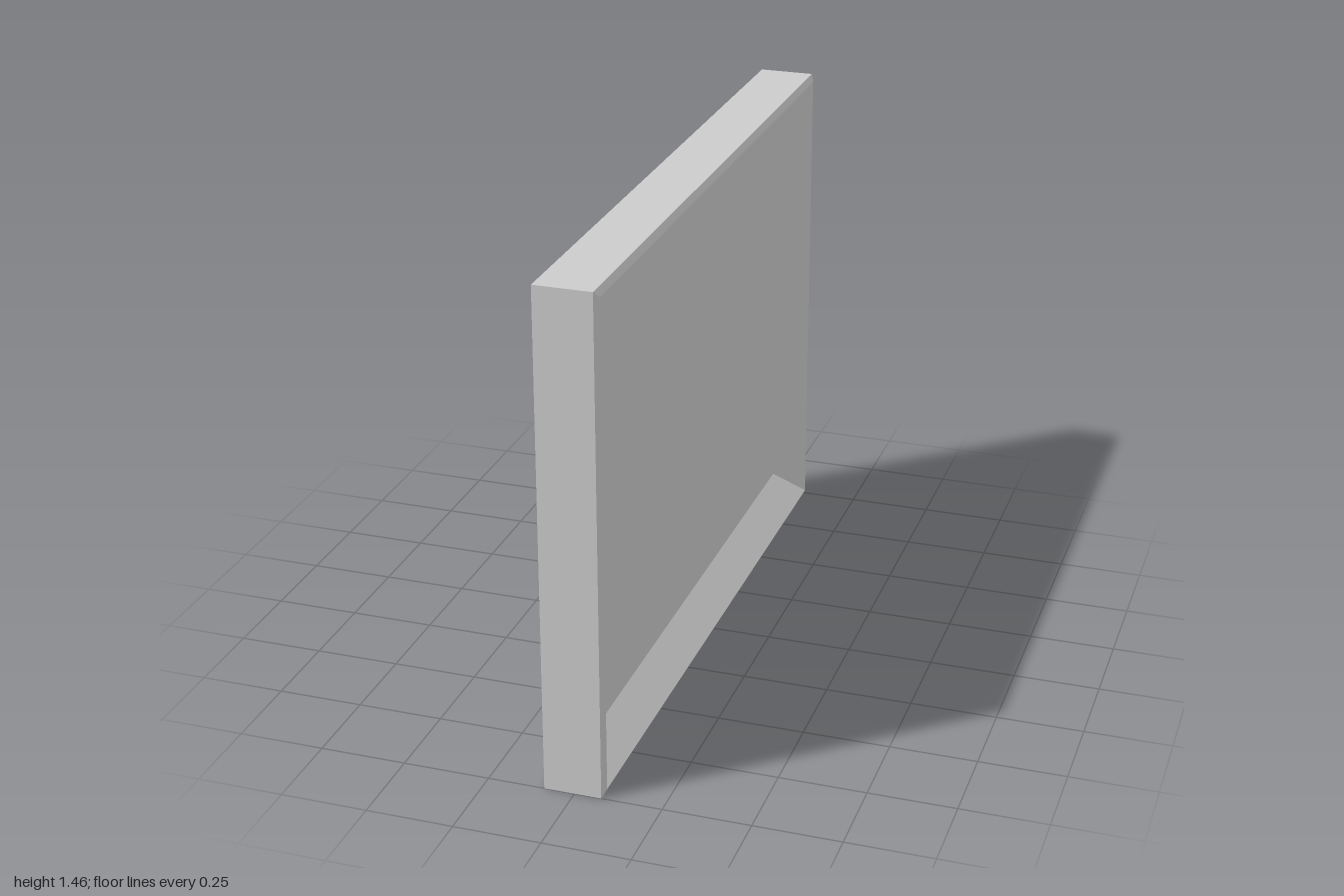
import * as THREE from 'three';

const HEIGHT = 1.46, HALF_LENGTH = 1;

// Rectangular section at depth x, shrunk by inset; counter-clockwise seen from +x
function ring(x, inset) {
  const z = HALF_LENGTH - inset, y0 = inset, y1 = HEIGHT - inset;
  return [[x, y0, z], [x, y0, -z], [x, y1, -z], [x, y1, z]];
}

const quad = (a, b, c, d) => [a, b, c, a, c, d];

// Four quads joining two sections
function band(a, b) {
  return a.flatMap((p, i) => {
    const j = (i + 1) % 4;
    return quad(p, a[j], b[j], b[i]);
  });
}

function addPart(group, name, points) {
  const geometry = new THREE.BufferGeometry();
  geometry.setAttribute('position', new THREE.Float32BufferAttribute(points.flat(), 3));
  geometry.computeVertexNormals();
  const material = new THREE.MeshStandardMaterial({ color: 0xcccccc, flatShading: true });
  const mesh = new THREE.Mesh(geometry, material);
  mesh.name = name;
  group.add(mesh);
}

export function createModel() {
  const group = new THREE.Group();
  group.name = 'shallowTray';

  const back = ring(-0.087, 0);
  const outerEdge = ring(0.077, 0);
  const innerEdge = ring(0.087, 0.02);
  const floor = ring(0, 0.107);

  addPart(group, 'outerWalls', band(back, outerEdge));
  addPart(group, 'bevelledRim', band(outerEdge, innerEdge));
  addPart(group, 'slopedInnerWalls', band(innerEdge, floor));
  addPart(group, 'recessedPanel', quad(...floor));
  addPart(group, 'backPanel', quad(...[...back].reverse()));
  return group;
}
